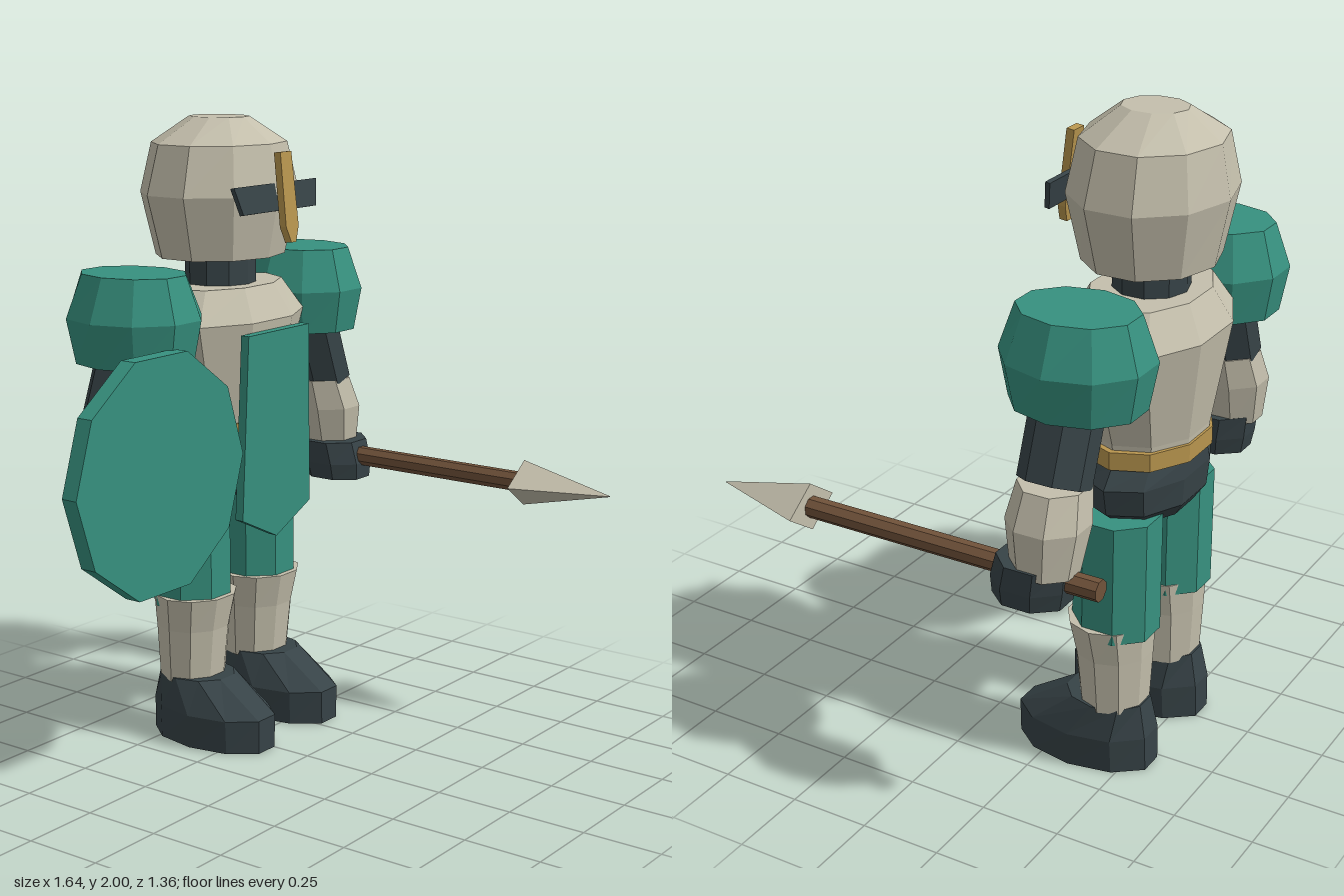
import * as THREE from 'three';

const mat = (name, color) => Object.assign(new THREE.MeshStandardMaterial({ color }), { name });
const CX = 0.132, CZ = -0.445; // body axis

// Closed faceted loft; rings go upward as [y, rx, rz, cx, cz]
function loft(rings, n, phase = 0) {
  const pos = [];
  const pt = ([y, rx, rz, cx = 0, cz = 0], i) => {
    const a = phase + (i / n) * Math.PI * 2;
    return [cx + Math.sin(a) * rx, y, cz + Math.cos(a) * rz];
  };
  const mid = ([y, , , cx = 0, cz = 0]) => [cx, y, cz];
  const lo = rings[0], hi = rings[rings.length - 1];
  for (let i = 0; i < n; i++) {
    for (let r = 0; r < rings.length - 1; r++) {
      const a = pt(rings[r], i), b = pt(rings[r], i + 1);
      const c = pt(rings[r + 1], i + 1), d = pt(rings[r + 1], i);
      pos.push(...a, ...b, ...c, ...a, ...c, ...d);
    }
    pos.push(...mid(hi), ...pt(hi, i), ...pt(hi, i + 1));
    pos.push(...mid(lo), ...pt(lo, i + 1), ...pt(lo, i));
  }
  const g = new THREE.BufferGeometry();
  g.setAttribute('position', new THREE.Float32BufferAttribute(pos, 3));
  g.computeVertexNormals();
  return g;
}

// Flat plate cut from an outline in x and y, centred on its thickness
function plate(points, depth) {
  const shape = new THREE.Shape(points.map(([x, y]) => new THREE.Vector2(x, y)));
  const g = new THREE.ExtrudeGeometry(shape, { depth, bevelEnabled: false });
  return g.translate(0, 0, -depth / 2);
}

export function createModel() {
  const model = new THREE.Group();
  model.name = 'knight';
  const steel = mat('steel', 0xc4bfac);
  const teal = mat('teal', 0x37917f);
  const dark = mat('dark', 0x374347);
  const gold = mat('gold', 0xb8954e);
  const wood = mat('wood', 0x70523a);

  const add = (name, geo, material, x = 0, y = 0, z = 0) => {
    const m = new THREE.Mesh(geo, material);
    m.name = name;
    m.position.set(x, y, z);
    model.add(m);
    return m;
  };
  const side = Math.PI / 10; // turns a ten-sided ring so corners point sideways

  // Head and neck
  add('helmet', loft([
    [1.565, 0.226, 0.195], [1.765, 0.281, 0.235], [1.92, 0.234, 0.205], [2.0, 0.088, 0.1],
  ], 10), steel, CX, 0, CZ);
  add('neck', loft([[1.42, 0.118, 0.112], [1.62, 0.118, 0.112]], 10), dark, CX, 0, CZ);
  const visor = add('visor', plate([
    [-0.185, -0.043], [0.185, -0.043], [0.21, 0.043], [-0.21, 0.043],
  ], 0.015), dark, CX, 1.758, -0.218);
  visor.rotation.x = -0.2;
  const nose = add('noseGuard', plate([
    [-0.028, 0.14], [-0.032, -0.09], [-0.012, -0.14], [0.012, -0.14], [0.032, -0.09], [0.028, 0.14],
  ], 0.025), gold, CX, 1.76, -0.178);
  nose.rotation.x = -0.11;

  // Trunk
  add('breastplate', loft([
    [0.99, 0.21, 0.17], [1.06, 0.22, 0.175], [1.37, 0.33, 0.222], [1.475, 0.24, 0.165],
  ], 10, side), steel, CX, 0, CZ);
  add('belt', loft([[0.99, 0.237, 0.182], [1.045, 0.237, 0.182]], 10, side), gold, CX, 0, CZ);
  add('hips', loft([
    [0.8, 0.18, 0.13], [0.85, 0.25, 0.165], [0.935, 0.268, 0.172], [0.99, 0.22, 0.168],
  ], 10, side), dark, CX, 0, CZ);
  const tabard = add('tabard', plate([
    [-0.156, 0.34], [-0.177, -0.25], [0, -0.335], [0.177, -0.25], [0.156, 0.34],
  ], 0.03), teal, CX, 1.0, -0.23);
  tabard.rotation.x = 0.02;

  // Paired limbs
  for (const s of [1, -1]) {
    const label = s > 0 ? 'left' : 'right';
    const at = (dx) => CX + s * dx;

    add(label + 'ShoulderGuard', loft([
      [1.275, 0.17, 0.2], [1.415, 0.2, 0.226], [1.55, 0.145, 0.18],
    ], 10, side), teal, at(0.42), 0, CZ);

    const arm = add(label + 'UpperArm', loft([
      [-0.15, 0.096, 0.107], [0.15, 0.096, 0.107],
    ], 8, Math.PI / 8), dark, at(0.485), 1.22, -0.44);
    arm.rotation.z = s * 0.36;

    add(label + 'Forearm', loft([
      [0.84, 0.092, 0.1, s * 0.04], [0.98, 0.118, 0.122, s * 0.022], [1.083, 0.108, 0.105, s * -0.012],
    ], 8, Math.PI / 8), steel, at(0.545), 0, -0.44);

    add(label + 'Hand', loft([
      [0.735, 0.098, 0.118, 0, 0.008], [0.79, 0.11, 0.125, 0, 0.004], [0.865, 0.115, 0.118, 0, -0.01],
    ], 8, Math.PI / 8), dark, at(0.573), 0, -0.4);

    add(label + 'Thigh', loft([
      [0.45, 0.128, 0.132], [0.83, 0.128, 0.132],
    ], 8, Math.PI / 8), teal, at(0.169), 0, -0.44);

    add(label + 'Shin', loft([
      [0.2, 0.112, 0.104, 0, -0.005], [0.375, 0.124, 0.118], [0.485, 0.142, 0.132, 0, 0.01],
    ], 10, side), steel, at(0.168), 0, -0.435);

    add(label + 'Boot', loft([
      [0, 0.13, 0.229, 0, 0.018], [0.11, 0.138, 0.228, 0, 0.02], [0.215, 0.112, 0.132, 0, -0.05],
    ], 10, side), dark, at(0.17), 0, -0.37);
  }

  // Shield
  const disc = new THREE.CylinderGeometry(0.38, 0.38, 0.055, 10).toNonIndexed();
  disc.computeVertexNormals();
  disc.rotateY(Math.PI / 10).rotateX(Math.PI / 2);
  add('shield', disc, teal, -0.444, 0.978, -0.23);

  // Spear
  const shaft = loft([[-0.61, 0.033, 0.033], [0.37, 0.033, 0.033]], 8, Math.PI / 8);
  add('spearShaft', shaft.rotateX(Math.PI / 2), wood, 0.708, 0.813, 0);
  const tip = loft([[0.358, 0.105, 0.075], [0.675, 0.0015, 0.0015]], 4);
  add('spearHead', tip.rotateX(Math.PI / 2), steel, 0.708, 0.813, 0);

  return model;
}
